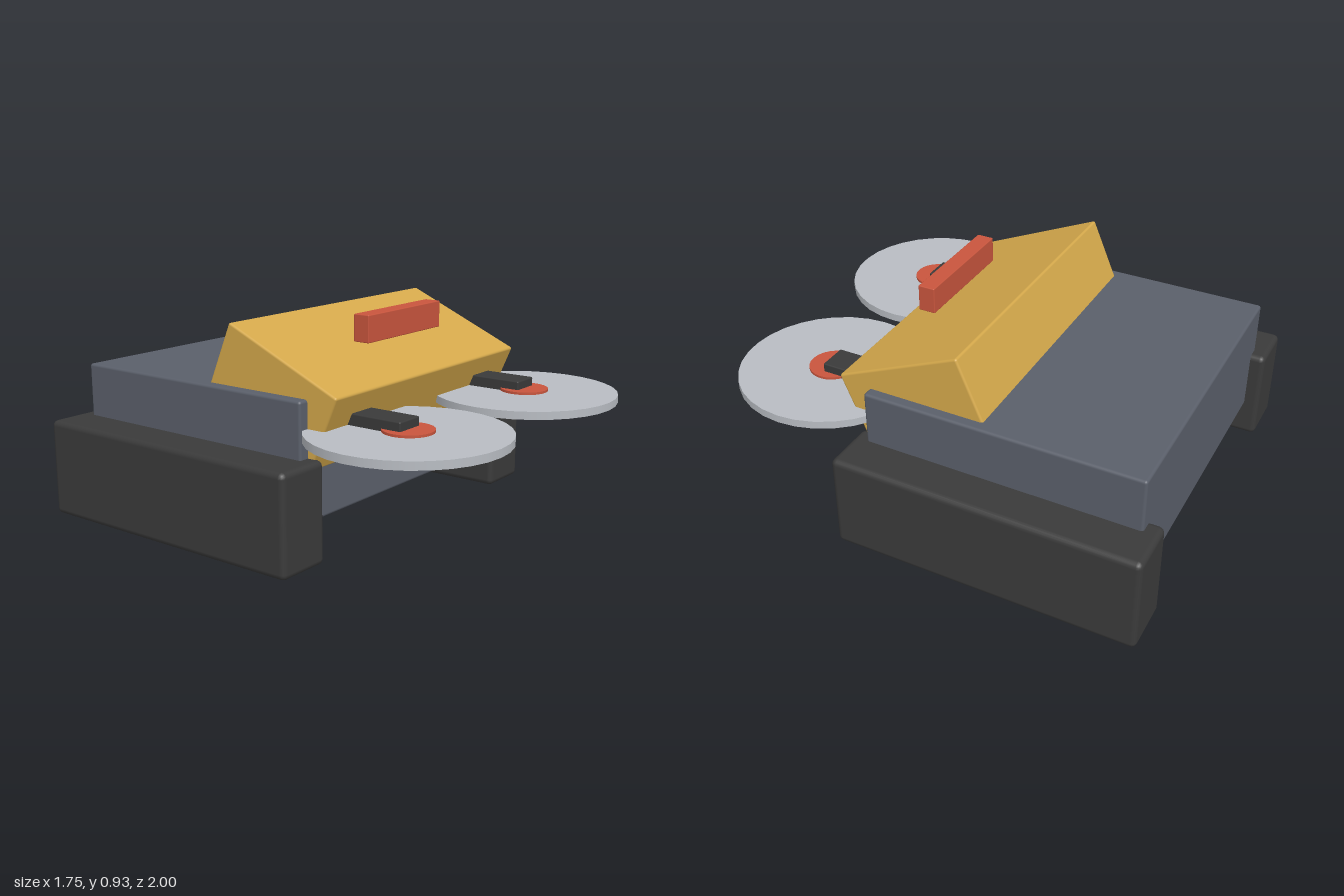
import * as THREE from 'three';
import { RoundedBoxGeometry } from 'three/addons/geometries/RoundedBoxGeometry.js';

export function createModel() {
  const model = new THREE.Group();
  model.name = 'sawVehicle';

  const material = (name, color) => {
    const m = new THREE.MeshStandardMaterial({ color });
    m.name = name;
    return m;
  };
  const slate = material('slate grey', 0x5a5f6a);
  const rubber = material('dark rubber', 0x3a3a3a);
  const ochre = material('ochre yellow', 0xd4a84b);
  const red = material('brick red', 0xc8553d);
  const steel = material('pale steel', 0xb8bcc2);

  const add = (name, geometry, mat, x, y, z) => {
    const mesh = new THREE.Mesh(geometry, mat);
    mesh.name = name;
    mesh.position.set(x, y, z);
    model.add(mesh);
    return mesh;
  };
  // Softened box given by its extents along each axis
  const block = (name, mat, [x0, x1], [y0, y1], [z0, z1], radius) =>
    add(name, new RoundedBoxGeometry(x1 - x0, y1 - y0, z1 - z0, 2, radius), mat,
      (x0 + x1) / 2, (y0 + y1) / 2, (z0 + z1) / 2);

  // Main body
  block('hull', slate, [-0.7, 0.7], [0.16, 0.657], [-0.935, 0.27], 0.012);

  // Tilted front cowl sunk into the hull
  const cowl = add('cowl', new RoundedBoxGeometry(1.31, 0.338, 0.592, 2, 0.01), ochre, 0, 0.642, 0.072);
  cowl.rotation.x = 0.41;

  // Bar hovering over the cowl
  block('lightBar', red, [-0.26, 0.26], [0.815, 0.93], [0.19, 0.265], 0.004);

  for (const [side, s] of [['left', 1], ['right', -1]]) {
    // Track pods
    const track = block(side + 'Track', rubber, [0.63, 0.877], [0, 0.425], [-1, 0.332], 0.025);
    track.position.x *= s;

    // Horizontal saw: arm, hub and blade
    const arm = block(side + 'SawArm', rubber, [0.38, 0.51], [0.46, 0.59], [0.1, 0.6], 0.006);
    arm.position.x *= s;
    add(side + 'SawHub', new THREE.CylinderGeometry(0.105, 0.105, 0.055, 24), red, s * 0.445, 0.525, 0.593);
    add(side + 'SawBlade', new THREE.CylinderGeometry(0.406, 0.406, 0.034, 32), steel, s * 0.445, 0.525, 0.593);
  }
  return model;
}
